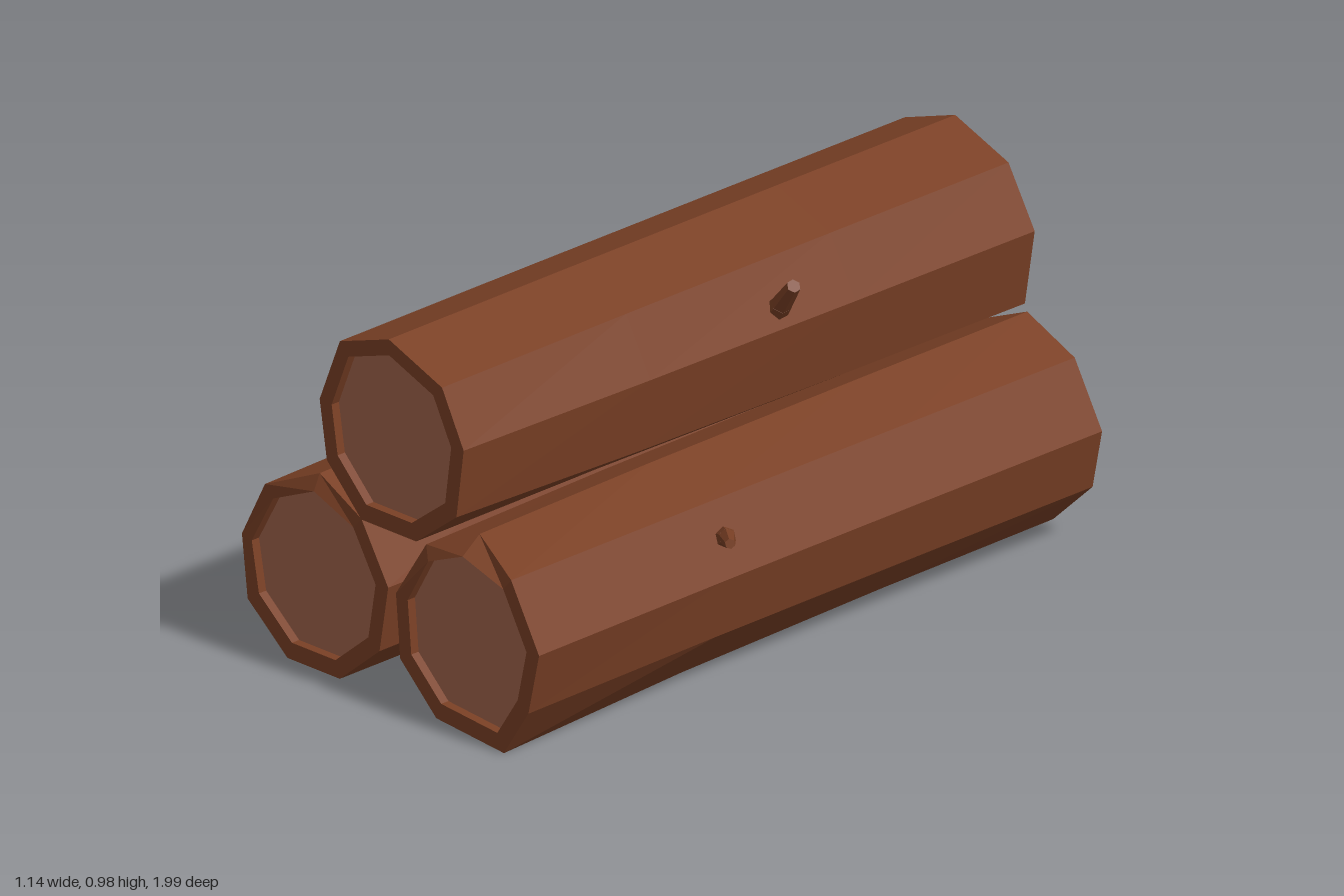
import * as THREE from 'three';

const bark = new THREE.MeshStandardMaterial({ color: 0x7a4025, flatShading: true });
const wood = new THREE.MeshStandardMaterial({ color: 0xa0634c, flatShading: true });

// Skin a list of rings (each an array of Vector3, clockwise seen from the front), front to back
function loft(rings) {
  const pos = [];
  const put = (...vs) => vs.forEach(v => pos.push(v.x, v.y, v.z));
  for (let r = 0; r < rings.length - 1; r++) {
    const a = rings[r], b = rings[r + 1], n = a.length;
    for (let i = 0; i < n; i++) {
      const j = (i + 1) % n;
      put(a[i], a[j], b[i], a[j], b[j], b[i]);
    }
  }
  return toGeometry(pos);
}

function disc(ring, facesFront) {
  const c = ring.reduce((s, v) => s.add(v), new THREE.Vector3()).divideScalar(ring.length);
  const pos = [];
  ring.forEach((v, i) => {
    const w = ring[(i + 1) % ring.length];
    for (const p of facesFront ? [c, w, v] : [c, v, w]) pos.push(p.x, p.y, p.z);
  });
  return toGeometry(pos);
}

function toGeometry(pos) {
  const g = new THREE.BufferGeometry();
  g.setAttribute('position', new THREE.Float32BufferAttribute(pos, 3));
  g.computeVertexNormals();
  return g;
}

// Nine-sided log: outlines at both ends, blended between, with recessed cut faces
function makeLog(name, { center, front, back, zFront, zBack, frontShift = {}, backShift = {} }) {
  const ring = (t, z) => front.map((f, i) => new THREE.Vector3(
    THREE.MathUtils.lerp(f[0], back[i][0], t), THREE.MathUtils.lerp(f[1], back[i][1], t), z));
  const inset = (r, z) => r.map(v => new THREE.Vector3(
    center[0] + (v.x - center[0]) * 0.83, center[1] + (v.y - center[1]) * 0.83, z));
  const f = ring(0, zFront), b = ring(1, zBack);
  const fIn = inset(f, zFront), bIn = inset(b, zBack);
  const fDeep = inset(f, zFront - 0.025), bDeep = inset(b, zBack + 0.025);
  for (const i in frontShift) f[i].z += frontShift[i];
  for (const i in backShift) b[i].z += backShift[i];

  const g = new THREE.Group();
  g.name = name;
  const add = (n, geo, mat) => {
    const m = new THREE.Mesh(geo, mat);
    m.name = n;
    g.add(m);
  };
  add('bark', loft([fDeep, fIn, f, ring(0.6, 0.35), ring(0.9, -0.35), b, bIn, bDeep]), bark);
  add('frontCut', disc(fDeep, true), wood);
  add('backCut', disc(bDeep, false), wood);
  return g;
}

// Tapered twig following a few points
function makeTwig(name, points, radii) {
  const g = new THREE.Group();
  g.name = name;
  for (let i = 0; i < points.length - 1; i++) {
    const a = new THREE.Vector3(...points[i]), b = new THREE.Vector3(...points[i + 1]);
    const d = b.clone().sub(a);
    const m = new THREE.Mesh(new THREE.CylinderGeometry(radii[i + 1], radii[i], d.length(), 6), bark);
    m.name = 'twigSegment';
    m.position.copy(a).add(b).multiplyScalar(0.5);
    m.quaternion.setFromUnitVectors(new THREE.Vector3(0, 1, 0), d.normalize());
    g.add(m);
  }
  return g;
}

export function createModel() {
  const model = new THREE.Group();
  model.name = 'logPile';

  model.add(makeLog('topLog', {
    center: [-0.03, 0.73], zFront: 0.98, zBack: -0.965,
    front: [[-0.035, 0.977], [0.15, 0.905], [0.225, 0.76], [0.2, 0.575], [0.06, 0.468],
      [-0.13, 0.468], [-0.25, 0.59], [-0.275, 0.745], [-0.205, 0.92]],
    back: [[-0.03, 0.985], [0.155, 0.915], [0.246, 0.76], [0.212, 0.557], [0.06, 0.475],
      [-0.13, 0.475], [-0.277, 0.56], [-0.295, 0.768], [-0.205, 0.925]],
  }));

  model.add(makeLog('lowerRightLog', {
    center: [-0.295, 0.285], zFront: 0.98, zBack: -0.965,
    frontShift: { 0: -0.02, 7: -0.01 }, backShift: { 7: -0.035 },
    front: [[-0.295, 0.535], [-0.13, 0.47], [-0.037, 0.315], [-0.067, 0.137], [-0.205, 0.021],
      [-0.387, 0.021], [-0.525, 0.137], [-0.555, 0.298], [-0.465, 0.46]],
    back: [[-0.285, 0.557], [-0.122, 0.47], [-0.04, 0.315], [-0.067, 0.14], [-0.205, 0.024],
      [-0.387, 0.024], [-0.525, 0.14], [-0.56, 0.308], [-0.468, 0.48]],
  }));

  model.add(makeLog('lowerLeftLog', {
    center: [0.24, 0.28], zFront: 0.99, zBack: -0.95,
    frontShift: { 0: -0.06, 8: -0.02 },
    front: [[0.23, 0.525], [0.4, 0.472], [0.497, 0.3], [0.46, 0.135], [0.375, 0.004],
      [0.14, 0.025], [0.015, 0.145], [0.0, 0.315], [0.085, 0.465]],
    back: [[0.235, 0.547], [0.4, 0.475], [0.495, 0.308], [0.462, 0.15], [0.325, 0.022],
      [0.145, 0.022], [-0.017, 0.123], [-0.027, 0.315], [0.065, 0.475]],
  }));

  // Broken twigs
  model.add(makeTwig('topTwig',
    [[0.17, 0.76, -0.13], [0.235, 0.825, -0.105], [0.302, 0.9, -0.08]], [0.036, 0.026, 0.018]));
  model.add(makeTwig('leftTwig',
    [[0.41, 0.37, 0.27], [0.49, 0.415, 0.335], [0.56, 0.437, 0.395]], [0.032, 0.022, 0.013]));
  model.add(makeTwig('rightTwig',
    [[-0.495, 0.36, -0.41], [-0.515, 0.435, -0.48], [-0.545, 0.488, -0.565]], [0.036, 0.026, 0.017]));
  model.add(makeTwig('rightTwigOffshoot',
    [[-0.51, 0.425, -0.47], [-0.566, 0.448, -0.455]], [0.012, 0.008]));

  return model;
}
